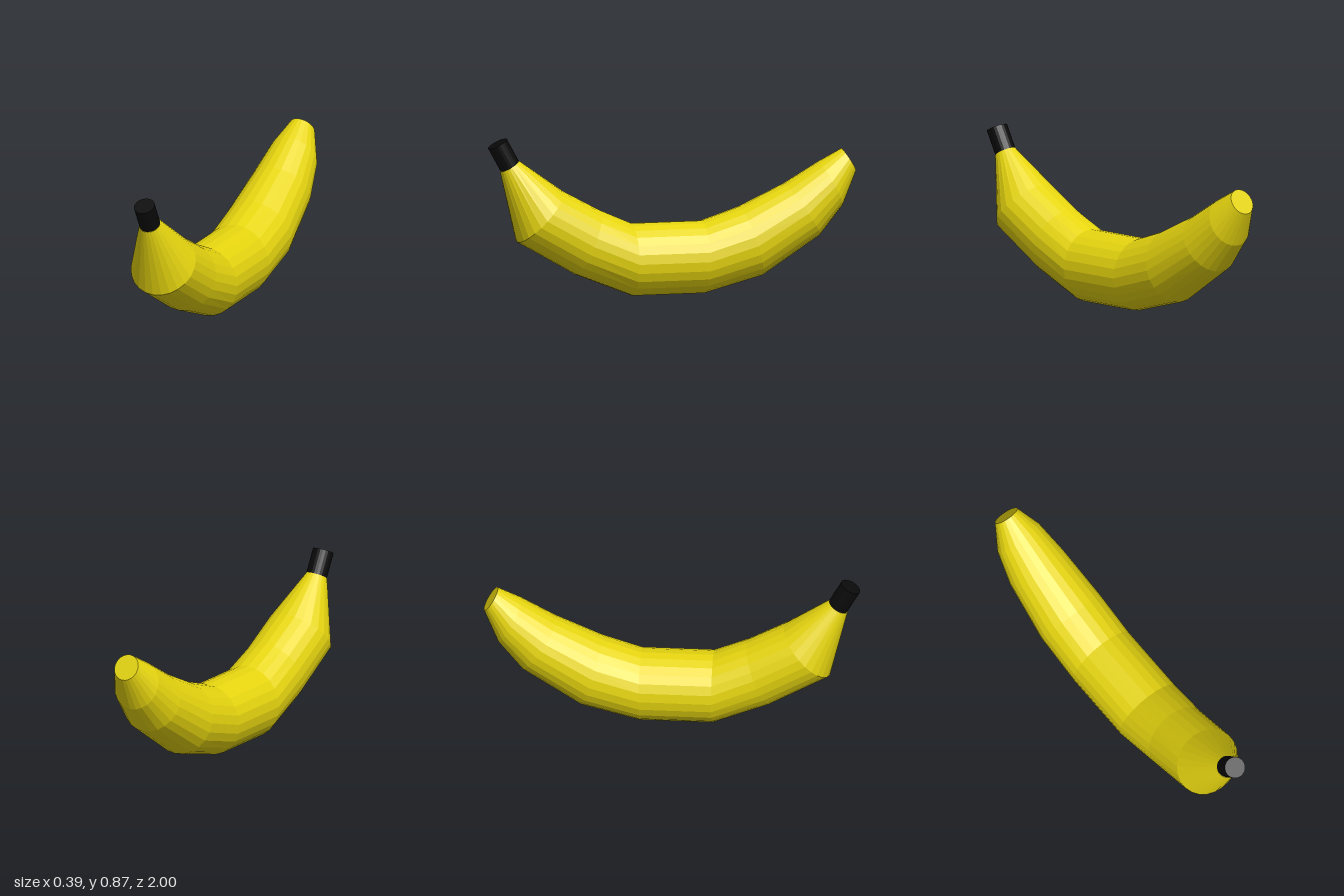
import * as THREE from 'three';

const SIDES = 24;

// Capped loft through circular rings, each given by its lowest and highest point
// [zLow, yLow, zHigh, yHigh] in the symmetry plane, ordered front to back.
function loft(rings) {
  const pos = [], index = [];
  const centres = rings.map(([z0, y0, z1, y1]) => [0, (y0 + y1) / 2, (z0 + z1) / 2]);
  rings.forEach(([z0, y0, z1, y1], i) => {
    const r = Math.hypot(z1 - z0, y1 - y0) / 2;
    const [, cy, cz] = centres[i];
    for (let j = 0; j < SIDES; j++) {
      const t = (j / SIDES) * Math.PI * 2, s = Math.sin(t) / 2;
      pos.push(r * Math.cos(t), cy + s * (y1 - y0), cz + s * (z1 - z0));
    }
  });
  const last = rings.length - 1, front = rings.length * SIDES, back = front + 1;
  pos.push(...centres[0], ...centres[last]);
  for (let j = 0; j < SIDES; j++) {
    const k = (j + 1) % SIDES;
    for (let i = 0; i < last; i++) {
      const a = i * SIDES + j, b = i * SIDES + k, c = a + SIDES, d = b + SIDES;
      index.push(a, c, b, b, c, d);
    }
    index.push(front, j, k, back, last * SIDES + k, last * SIDES + j);
  }
  const geo = new THREE.BufferGeometry();
  geo.setAttribute('position', new THREE.Float32BufferAttribute(pos, 3));
  geo.setIndex(index);
  const flat = geo.toNonIndexed();
  flat.computeVertexNormals();
  return flat;
}

function part(name, rings, color) {
  const mesh = new THREE.Mesh(
    loft(rings),
    new THREE.MeshStandardMaterial({ color, flatShading: true })
  );
  mesh.name = name;
  return mesh;
}

export function createModel() {
  const group = new THREE.Group();
  group.name = 'banana';

  // Curved fruit body, from the stem neck to the blunt tip
  group.add(part('peel', [
    [0.935, 0.69, 0.835, 0.748],
    [0.845, 0.31, 0.595, 0.575],
    [0.53, 0.125, 0.395, 0.465],
    [0.22, 0, 0.22, 0.387],
    [-0.165, 0, -0.165, 0.387],
    [-0.485, 0.085, -0.37, 0.455],
    [-0.8, 0.29, -0.615, 0.57],
    [-0.925, 0.445, -0.8, 0.68],
    [-1, 0.625, -0.925, 0.747],
  ], 0xe6d50f));

  // Dark stem, tilted forward
  group.add(part('stem', [
    [1, 0.815, 0.9, 0.867],
    [0.932, 0.69, 0.832, 0.742],
  ], 0x0a0a0a));

  return group;
}
